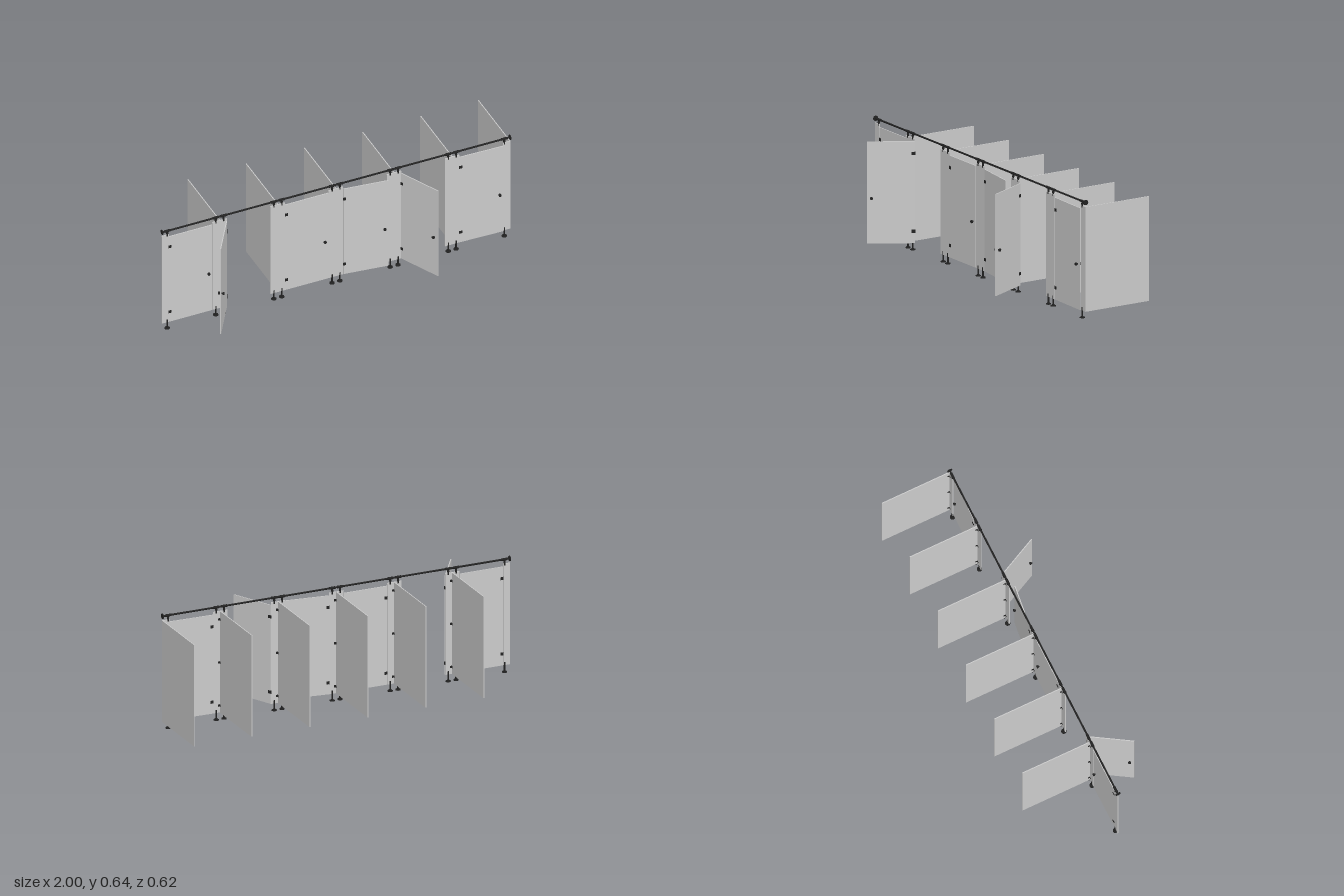
import * as THREE from 'three';

const BAY = 1 / 3, Z = 0.085, T = 0.005;   // bay width, front line, board thickness
const BOTTOM = 0.04, TOP = 0.605, DOOR_TOP = 0.59, DOOR_W = 0.248;
const RAIL_Y = 0.629;

const board = new THREE.MeshStandardMaterial({ color: 0xcccccc });
const metal = new THREE.MeshStandardMaterial({ color: 0x222222 });

function box(parent, name, material, size, pos) {
  const mesh = new THREE.Mesh(new THREE.BoxGeometry(...size), material);
  mesh.name = name;
  mesh.position.set(...pos);
  parent.add(mesh);
  return mesh;
}

function rod(parent, name, radius, length, pos, axis = 'y') {
  const geo = new THREE.CylinderGeometry(radius, radius, length, 20);
  if (axis === 'x') geo.rotateZ(Math.PI / 2);
  if (axis === 'z') geo.rotateX(Math.PI / 2);
  const mesh = new THREE.Mesh(geo, metal);
  mesh.name = name;
  mesh.position.set(...pos);
  parent.add(mesh);
  return mesh;
}

// Adjustable foot below a pilaster and rail clamp above it
function createSupport(x) {
  const g = new THREE.Group();
  g.name = 'support';
  g.position.set(x, 0, Z);
  rod(g, 'footDisc', 0.014, 0.004, [0, 0.002, 0]);
  rod(g, 'footCollar', 0.007, 0.006, [0, 0.006, 0]);
  rod(g, 'footStem', 0.0045, 0.054, [0, 0.031, 0]);
  rod(g, 'railStem', 0.0045, 0.034, [0, 0.612, 0]);
  rod(g, 'railCollar', 0.006, 0.008, [0, 0.615, 0]);
  rod(g, 'railClamp', 0.007, 0.032, [0, RAIL_Y, 0], 'x');
  return g;
}

// Front post panel between two doors
function createPilaster(x0, x1, supports) {
  const g = new THREE.Group();
  g.name = 'pilaster';
  box(g, 'pilasterPanel', board, [x1 - x0, TOP - BOTTOM, T], [(x0 + x1) / 2, (TOP + BOTTOM) / 2, Z]);
  supports.forEach(x => g.add(createSupport(x)));
  return g;
}

// Door with its origin on the hinge line, swinging towards the front
function createDoor(hingeX, degrees) {
  const g = new THREE.Group();
  g.name = 'door';
  g.position.set(hingeX, 0, Z);
  g.rotation.y = -THREE.MathUtils.degToRad(degrees);
  box(g, 'doorPanel', board, [DOOR_W, DOOR_TOP - BOTTOM, T], [DOOR_W / 2 + 0.001, (DOOR_TOP + BOTTOM) / 2, 0]);
  for (const y of [0.105, 0.525]) {
    box(g, 'hingePlate', metal, [0.016, 0.016, T + 0.004], [0.008, y, 0]);
    rod(g, 'hingePin', 0.003, 0.018, [0, y, 0]);
  }
  rod(g, 'knobStem', 0.004, 0.03, [0.226, 0.285, 0], 'z');
  for (const side of [-1, 1]) rod(g, 'knob', 0.008, 0.008, [0.226, 0.285, side * 0.012], 'z');
  return g;
}

// Dividing wall running back, fixed to the pilaster with small brackets
function createPartition(x, bracketSides) {
  const g = new THREE.Group();
  g.name = 'partition';
  const z0 = -0.308, z1 = Z - T / 2;
  box(g, 'partitionPanel', board, [T, TOP - BOTTOM, z1 - z0], [x, (TOP + BOTTOM) / 2, (z0 + z1) / 2]);
  for (const y of [0.08, 0.32, 0.56]) for (const s of bracketSides) {
    box(g, 'bracketSide', metal, [0.002, 0.012, 0.011], [x + s * (T / 2 + 0.001), y, z1 - 0.0055]);
    box(g, 'bracketFront', metal, [0.011, 0.012, 0.002], [x + s * (T / 2 + 0.0055), y, z1 - 0.001]);
  }
  return g;
}

export function createModel() {
  const model = new THREE.Group();
  model.name = 'cubicleRow';

  // Pilasters: narrow at both ends, wide at each divider
  model.add(createPilaster(-1, -0.96, [-0.968]));
  for (let i = 1; i < 6; i++) {
    const x = -1 + i * BAY;
    model.add(createPilaster(x - 0.043, x + 0.04, [x - 0.023, x + 0.022]));
    model.add(createPartition(x, [-1, 1]));
  }
  model.add(createPilaster(0.957, 1, [0.965]));
  model.add(createPartition(1 - T / 2, [-1]));

  // Doors, each with its own opening angle
  [0, 122, 0, 7, 64, 1.5].forEach((angle, i) => model.add(createDoor(-0.96 + i * BAY, angle)));

  // Head rail with end flanges
  rod(model, 'headRail', 0.005, 2, [0, RAIL_Y, Z], 'x');
  for (const s of [-1, 1]) rod(model, 'railFlange', 0.014, 0.005, [s * 0.9975, RAIL_Y, Z], 'x');

  return model;
}
